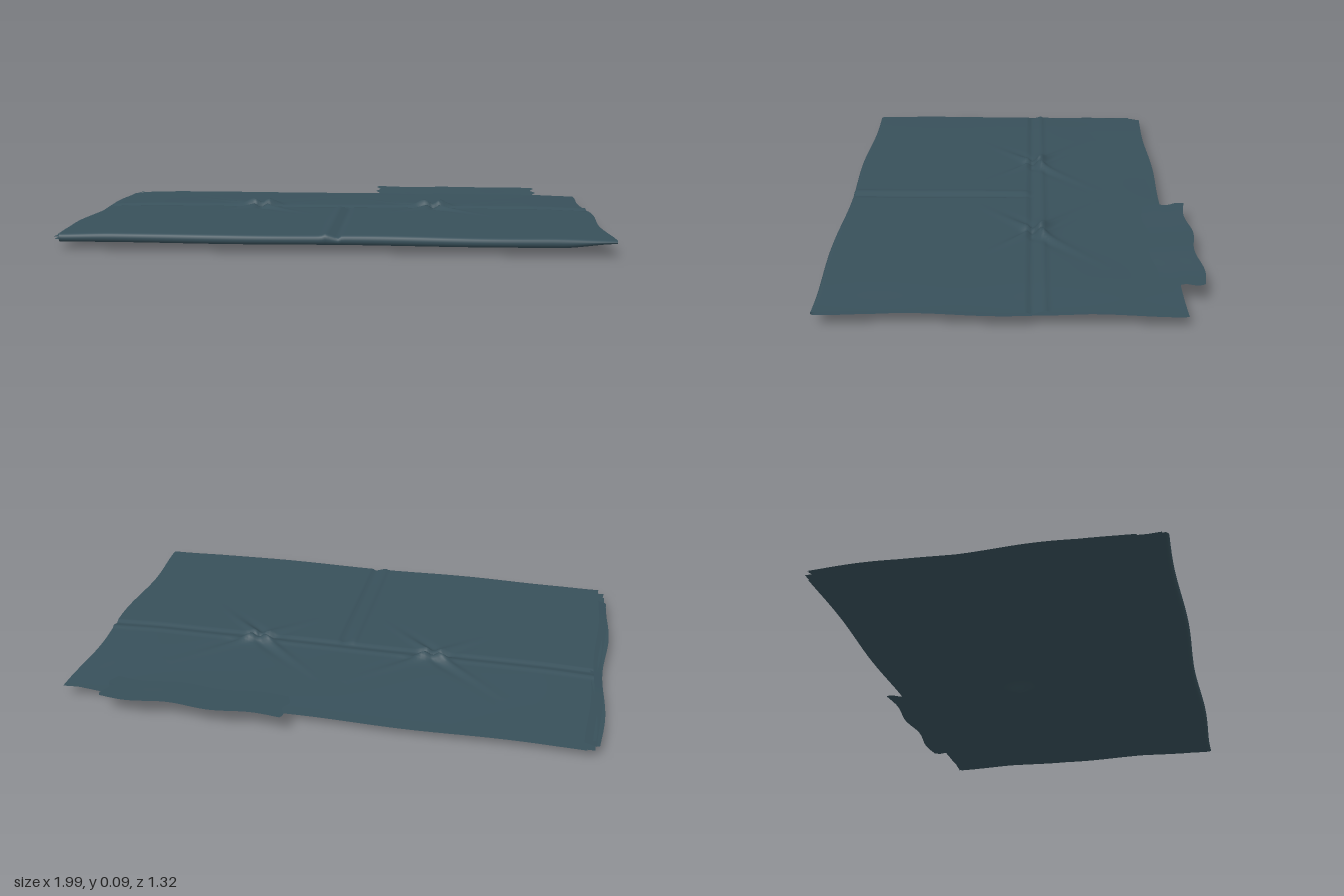
import * as THREE from 'three';

const cloth = new THREE.MeshStandardMaterial({ color: 0x38505a, side: THREE.DoubleSide });
cloth.name = 'slate blue cloth';

const { lerp, smoothstep, clamp } = THREE.MathUtils;
const bell = (d, w) => Math.exp(-(d * d) / (w * w));

// Grid surface whose points come from a rule of u, v in 0..1
function sheet(name, nu, nv, rule) {
  const geo = new THREE.PlaneGeometry(1, 1, nu, nv);
  const pos = geo.attributes.position;
  for (let i = 0; i < pos.count; i++) {
    const [x, y, z] = rule(pos.getX(i) + 0.5, 0.5 - pos.getY(i));
    pos.setXYZ(i, x, y, z);
  }
  geo.computeVertexNormals();
  const mesh = new THREE.Mesh(geo, cloth);
  mesh.name = name;
  return mesh;
}

// Gently scalloped side and back edges
const sideWave = (z) => 0.009 * Math.cos(z * 10.5 - 0.4);
const backWave = (x) => 0.005 * Math.sin(x * 8.5 + 1);

// Sharp pleat: a slope running down into a valley, then a steep step back up
function pleat(d, width) {
  if (d < -width - 0.015 || d > 0.012) return 0;
  if (d < -width) return 0.006 * (d + width + 0.015) / 0.015;
  if (d < 0) return lerp(-0.008, 0.006, -d / width);
  return -0.008 * (1 - d / 0.012);
}

// Gathered pinch with four wrinkles spreading diagonally
function pinch(x, z, cx) {
  const dx = x - cx, dz = z + 0.075, r = Math.hypot(dx, dz);
  if (r > 0.4) return 0;
  let h = 0.012 * bell(dx, 0.07) * bell(dz + 0.03, 0.035) - 0.016 * bell(r, 0.022);
  for (const [angle, length] of [[-0.72, 0.11], [-2.42, 0.11], [0.75, 0.08], [2.4, 0.08]]) {
    const c = Math.cos(angle), s = Math.sin(angle);
    const along = dx * c + dz * s, across = dz * c - dx * s;
    if (along > 0) {
      const fade = smoothstep(along, 0, 0.04) * Math.exp(-along / length);
      h += fade * (0.022 * bell(across, 0.016) - 0.012 * bell(across - 0.03, 0.018));
    }
  }
  return h;
}

// Height of the upper face
function topHeight(x, z) {
  const slope = z < -0.05 ? -0.010 * clamp((-0.05 - z) / 0.5, 0, 1) : 0;
  const ends = -0.006 * smoothstep(Math.abs(x), 0.75, 1);
  const soft = 0.0015 * Math.sin(x * 7 + z * 5) * Math.cos(z * 6 - x * 2);
  const middle = smoothstep(z, -0.08, -0.02) * pleat(x - 0.04, 0.045);
  return 0.062 + slope + ends + soft + pleat(z + 0.065, 0.045) + middle
    + pinch(x, z, -0.33) + pinch(x, z, 0.37);
}

// Height of the lower face, with one poked-out point
const bottomHeight = (x, z) =>
  0.028 + 0.016 * smoothstep(x, 0.8, 0.99) - 0.03 * bell(Math.hypot(x - 0.05, z + 0.06), 0.032);

export function createModel() {
  const group = new THREE.Group();
  group.name = 'foldedCloth';

  // Outer cloth: bottom, rounded front fold, then the creased top
  group.add(sheet('outerFold', 170, 190, (u, v) => {
    const left = -0.95, right = 0.985, front = 0.638;
    const x0 = lerp(left, right, u);
    const back = -0.575 + backWave(x0);
    const edge = front + 0.006 * Math.cos(x0 * 7.5 + 2.5);
    let z, y;
    if (v < 0.28) {
      z = lerp(back + 0.01, edge, v / 0.28);
      y = bottomHeight(x0, z);
    } else if (v < 0.33) {
      const a = (v - 0.28) / 0.05 * Math.PI;
      const low = bottomHeight(x0, edge), high = topHeight(x0, edge);
      z = edge + 0.014 * Math.sin(a);
      y = lerp(low, high, 0.5 - 0.5 * Math.cos(a));
    } else {
      z = lerp(edge, back, (v - 0.33) / 0.67);
      y = topHeight(x0, z);
    }
    return [x0 + sideWave(z) * (u < 0.5 ? 0.6 : 1) * Math.abs(2 * u - 1), y, z];
  }));

  // Loose layers showing at the left and back: [left, right, back, front, height]
  const layers = [
    [-0.98, 0.86, -0.565, 0.615, 0.033],
    [-0.99, 0.97, -0.555, 0.55, 0.039],
    [-0.965, 0.96, -0.53, 0.63, 0.046],
  ];
  layers.forEach(([left, right, back, front, height], i) => {
    group.add(sheet('innerLayer' + (i + 1), 50, 40, (u, v) => {
      const x = lerp(left, right, u), z = lerp(back, front, v);
      const wave = sideWave(z + 0.1 * i) * Math.abs(2 * u - 1);
      return [x + wave, height + 0.001 * Math.sin(x * 6 + z * 4 + i), z + backWave(x + i) * (1 - v)];
    }));
  });

  // Narrow turned edge along the left side
  group.add(sheet('leftHem', 4, 50, (u, v) => {
    const z = lerp(-0.56, 0.55, v);
    return [lerp(-0.982, -0.938, u) + sideWave(z) * 0.7, lerp(0.042, 0.055, u), z];
  }));

  // Small flap lifted over the back edge
  group.add(sheet('backFlap', 50, 14, (u, v) => {
    const x = lerp(0.13, 0.815, u);
    const z = lerp(-0.653, -0.493, v) + 0.008 * Math.cos((x - 0.4) * 20 + Math.PI) ;
    const side = 0.008 * Math.sin(v * 11) * (2 * u - 1);
    return [x + side, lerp(0.073, 0.062, v) + 0.001 * Math.sin(x * 15), z];
  }));

  return group;
}
